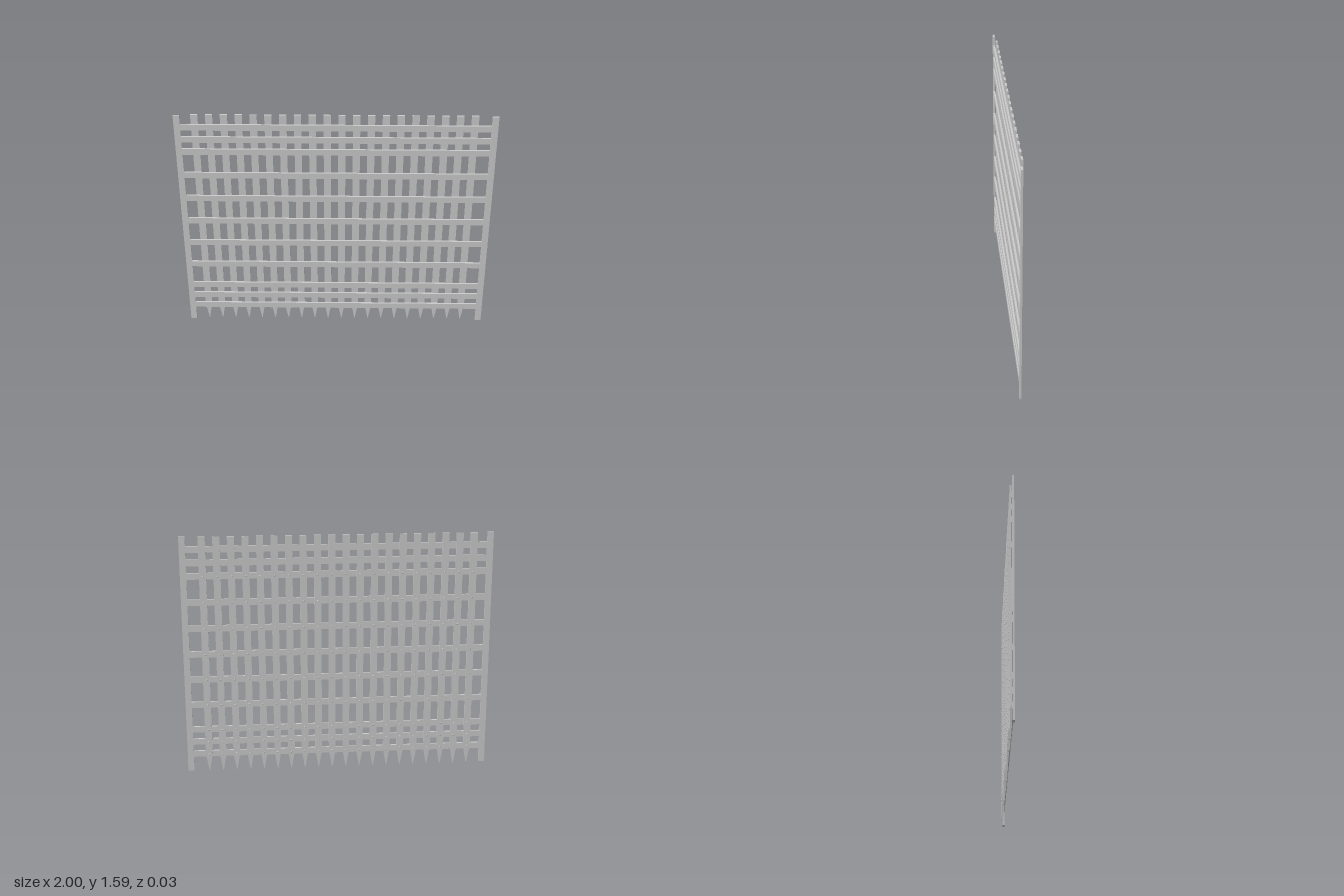
import * as THREE from 'three';

const HEIGHT = 1.585, POST = 0.04, RAIL = 0.041;
const Z_FRONT = 0.0135, Z_JOINT = 0.0015, Z_BACK = -0.0105;
const railY = [0.119, 0.205, 0.291, 0.464, 0.638, 0.811, 0.984, 1.157, 1.329, 1.416, 1.502];
const rivetedRails = railY.slice(0, 9);

const polygon = (points) => new THREE.Shape(points.map(([x, y]) => new THREE.Vector2(x, y)));

function slab(shape, zBack, zFront) {
  const geo = new THREE.ExtrudeGeometry(shape, { depth: zFront - zBack, bevelEnabled: false });
  return geo.translate(0, 0, zBack);
}

export function createModel() {
  const group = new THREE.Group();
  const material = new THREE.MeshStandardMaterial({ color: 0xcccccc, flatShading: true });
  const add = (name, geo, parent = group) => {
    const mesh = new THREE.Mesh(geo, material);
    mesh.name = name;
    parent.add(mesh);
    return mesh;
  };

  // Frame: two side posts joined by flat rails, with the gaps between rails cut out
  const inner = 1 - POST;
  const low = railY[0] - RAIL / 2, high = railY[railY.length - 1] + RAIL / 2;
  const frame = polygon([
    [-1, 0], [-inner, 0], [-inner, low], [inner, low], [inner, 0], [1, 0],
    [1, HEIGHT], [inner, HEIGHT], [inner, high], [-inner, high], [-inner, HEIGHT], [-1, HEIGHT],
  ]);
  for (let i = 0; i < railY.length - 1; i++) {
    const a = railY[i] + RAIL / 2, b = railY[i + 1] - RAIL / 2;
    frame.holes.push(polygon([[-inner, a], [-inner, b], [inner, b], [inner, a]]));
  }
  add('frame', slab(frame, Z_JOINT, Z_FRONT));

  // Upright bars behind the rails, each tapering to a spike at the foot
  const w = 0.0225, tip = 0.002, shoulder = 0.122;
  const barGeo = slab(polygon([
    [-tip, 0.004], [tip, 0.004], [w, shoulder], [w, HEIGHT], [-w, HEIGHT], [-w, shoulder],
  ]), Z_BACK, Z_JOINT);

  // Rivet heads on the back, narrowing outward
  const rivetGeo = new THREE.CylinderGeometry(0.006, 0.0035, 0.003, 8)
    .rotateX(Math.PI / 2)
    .translate(0, 0, Z_BACK - 0.0015);

  for (let i = 0; i < 20; i++) {
    const upright = new THREE.Group();
    upright.name = 'upright';
    upright.position.x = -0.872 + i * 0.091;
    add('spikedBar', barGeo, upright);
    for (const y of rivetedRails) add('rivet', rivetGeo, upright).position.y = y;
    group.add(upright);
  }
  return group;
}
